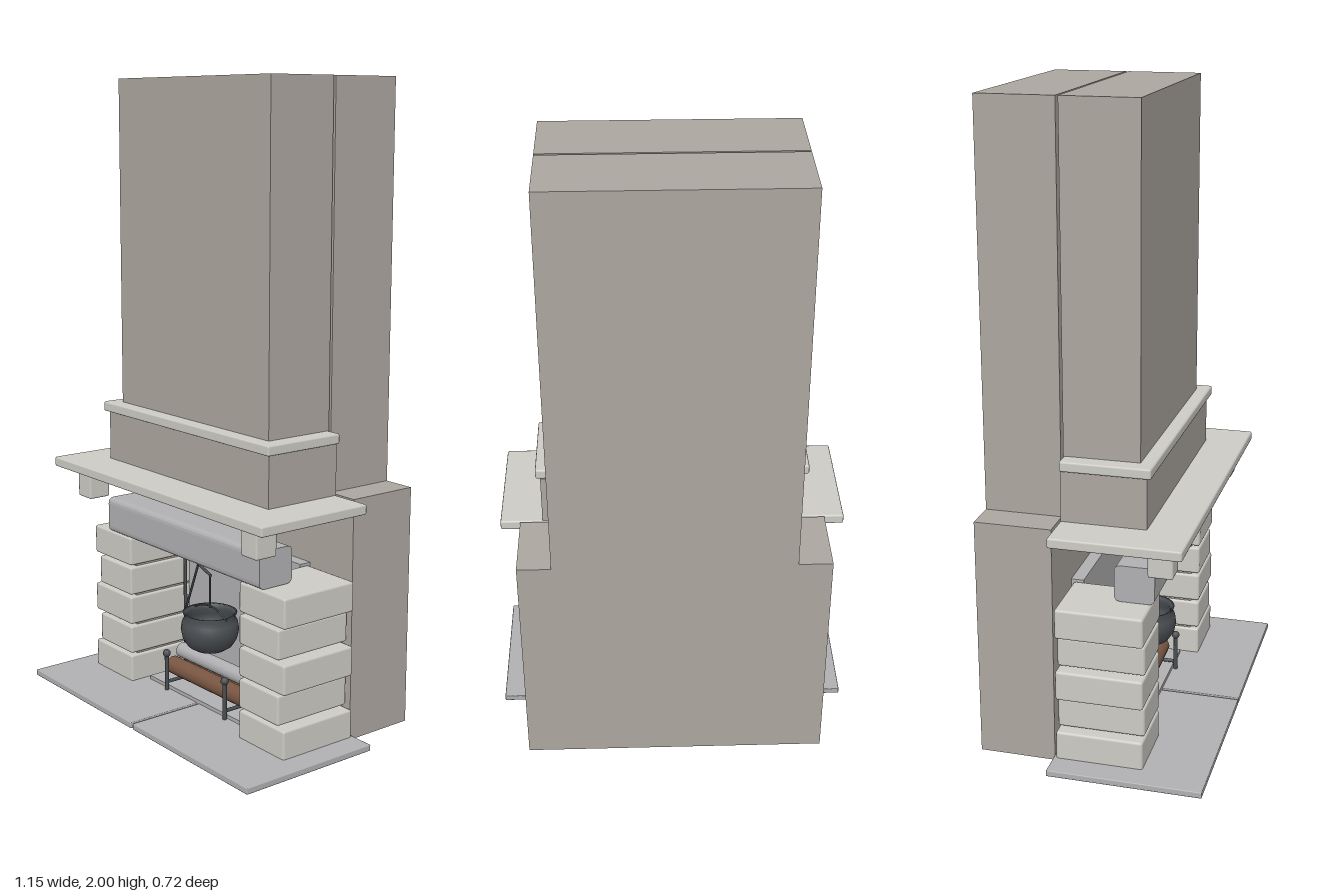
import * as THREE from 'three';
import { RoundedBoxGeometry } from 'three/addons/geometries/RoundedBoxGeometry.js';

const mat = (color, side = THREE.FrontSide, flatShading = false) =>
  new THREE.MeshStandardMaterial({ color, side, flatShading });

export function createModel() {
  const root = new THREE.Group();
  const brick = mat(0xaca69f), stone = mat(0xcccbc4), slate = mat(0xb0b0b2);
  const iron = mat(0x4a4e52, THREE.DoubleSide), wood = mat(0x7a5643), ash = mat(0xb0b0b2);

  function add(name, geometry, material, parent = root) {
    const mesh = new THREE.Mesh(geometry, material);
    mesh.name = name;
    parent.add(mesh);
    return mesh;
  }
  // Box given by its extents; an optional bevel softens the edges
  function block(name, material, x0, x1, y0, y1, z0, z1, bevel = 0, parent = root) {
    const s = [x1 - x0, y1 - y0, z1 - z0];
    const g = bevel ? new RoundedBoxGeometry(...s, 1, bevel) : new THREE.BoxGeometry(...s);
    g.translate((x0 + x1) / 2, (y0 + y1) / 2, (z0 + z1) / 2);
    return add(name, g, material, parent);
  }
  // Round bar between two points
  function bar(name, a, b, radius, material, parent, sides = 8) {
    const p = new THREE.Vector3(...a), q = new THREE.Vector3(...b);
    const m = add(name, new THREE.CylinderGeometry(radius, radius, p.distanceTo(q), sides), material, parent);
    m.position.copy(p).add(q).multiplyScalar(0.5);
    m.quaternion.setFromUnitVectors(new THREE.Vector3(0, 1, 0), q.sub(p).normalize());
    return m;
  }
  function group(name) {
    const g = new THREE.Group();
    g.name = name;
    root.add(g);
    return g;
  }

  // Chimney: wide base and flue behind, breast in front
  block('chimneyBase', brick, -0.48, 0.48, 0.01, 0.77, -0.358, -0.12);
  block('chimneyFlue', brick, -0.375, 0.375, 0.77, 2, -0.358, -0.12);
  block('chimneyBreast', brick, -0.375, 0.375, 0.96, 2, -0.112, 0.122);
  block('overmantel', brick, -0.41, 0.41, 0.77, 0.93, -0.112, 0.15);
  block('cornice', stone, -0.425, 0.425, 0.93, 0.962, -0.112, 0.165, 0.006);
  block('mantelShelf', stone, -0.543, 0.543, 0.738, 0.77, -0.115, 0.285, 0.006);

  // Lintel: rounded profile run across the opening
  const r = 0.02, w = 0.0625, h = 0.058;
  const profile = new THREE.Shape();
  profile.moveTo(-w + r, -h);
  profile.lineTo(w - r, -h);
  profile.quadraticCurveTo(w, -h, w, -h + r);
  profile.lineTo(w, h - r);
  profile.quadraticCurveTo(w, h, w - r, h);
  profile.lineTo(-w + r, h);
  profile.quadraticCurveTo(-w, h, -w, h - r);
  profile.lineTo(-w, -h + r);
  profile.quadraticCurveTo(-w, -h, -w + r, -h);
  const lintel = new THREE.ExtrudeGeometry(profile, { depth: 0.79, bevelEnabled: false, curveSegments: 4 });
  lintel.rotateY(Math.PI / 2).translate(-0.395, 0.583, 0.108);
  add('lintel', lintel, slate);

  // Firebox back and floor
  block('fireboxBack', slate, -0.288, 0.288, 0, 0.53, -0.12, -0.08);
  block('fireboxFloor', slate, -0.265, 0.265, 0.02, 0.04, -0.08, 0.1);

  // Mirrored sides: hearth slab, pier with quoin stones, corbel
  for (const side of [1, -1]) {
    const span = (a, b) => side > 0 ? [a, b] : [-b, -a];
    const label = side > 0 ? 'left' : 'right';
    block(label + 'HearthSlab', slate, ...span(0.004, 0.573), 0.008, 0.028, -0.12, 0.358, 0.003);
    block(label + 'PierCore', brick, ...span(0.295, 0.45), 0.02, 0.51, -0.11, 0.13);
    for (let i = 0; i < 5; i++) {
      const y = 0.022 + i * 0.1015, outer = i % 2 ? 0.47 : 0.497;
      block(label + 'PierStone', stone, ...span(0.285, outer), y, y + 0.095, -0.112, 0.16, 0.008);
    }
    block(label + 'Corbel', stone, ...span(0.395, 0.468), 0.645, 0.738, 0.165, 0.242, 0.007);
  }

  // Swinging pot crane
  const crane = group('potCrane');
  bar('cranePost', [-0.26, 0.03, -0.045], [-0.26, 0.468, -0.045], 0.006, iron, crane);
  bar('craneArm', [-0.26, 0.448, -0.045], [0.005, 0.448, 0.05], 0.005, iron, crane);
  bar('craneBrace', [-0.26, 0.24, -0.045], [-0.12, 0.446, 0.006], 0.004, iron, crane);
  bar('hangingRod', [0, 0.448, 0.05], [0, 0.34, 0.05], 0.003, iron, crane);

  // Cauldron with an open rim and a bail handle
  const cauldron = group('cauldron');
  cauldron.position.set(0, 0.2, 0.05);
  const pot = [[0, 0], [0.05, 0.003], [0.072, 0.017], [0.088, 0.042], [0.094, 0.07], [0.09, 0.096],
    [0.08, 0.112], [0.088, 0.127], [0.08, 0.125], [0.074, 0.112], [0.084, 0.09], [0.086, 0.07],
    [0.07, 0.027], [0, 0.012]];
  add('pot', new THREE.LatheGeometry(pot.map(p => new THREE.Vector2(...p)), 28), iron, cauldron);
  const bail = new THREE.CatmullRomCurve3([[-0.086, 0.12], [-0.05, 0.137], [0, 0.146], [0.05, 0.137], [0.086, 0.12]]
    .map(([x, y]) => new THREE.Vector3(x, y, 0)));
  add('bailHandle', new THREE.TubeGeometry(bail, 20, 0.003, 6), iron, cauldron);

  // Andirons
  const andirons = group('andirons');
  for (const x of [-0.155, 0.153]) {
    bar('andironPost', [x, 0.028, 0.11], [x, 0.15, 0.11], 0.007, iron, andirons);
    add('andironKnob', new THREE.SphereGeometry(0.013, 12, 8), iron, andirons).position.set(x, 0.154, 0.11);
    bar('andironBar', [x, 0.055, 0.11], [x, 0.055, -0.07], 0.006, iron, andirons);
    bar('andironFoot', [x, 0.04, -0.07], [x, 0.055, -0.07], 0.006, iron, andirons);
  }

  // Stacked logs, the upper one burnt to ash
  const logs = group('logs');
  bar('frontLog', [-0.195, 0.09, 0.055], [0.19, 0.09, 0.05], 0.03, wood, logs, 10);
  bar('backLog', [-0.19, 0.09, -0.025], [0.185, 0.09, -0.02], 0.03, wood, logs, 10);
  bar('topLog', [-0.195, 0.133, 0.018], [0.19, 0.133, 0.01], 0.026, ash, logs, 10);

  return root;
}
